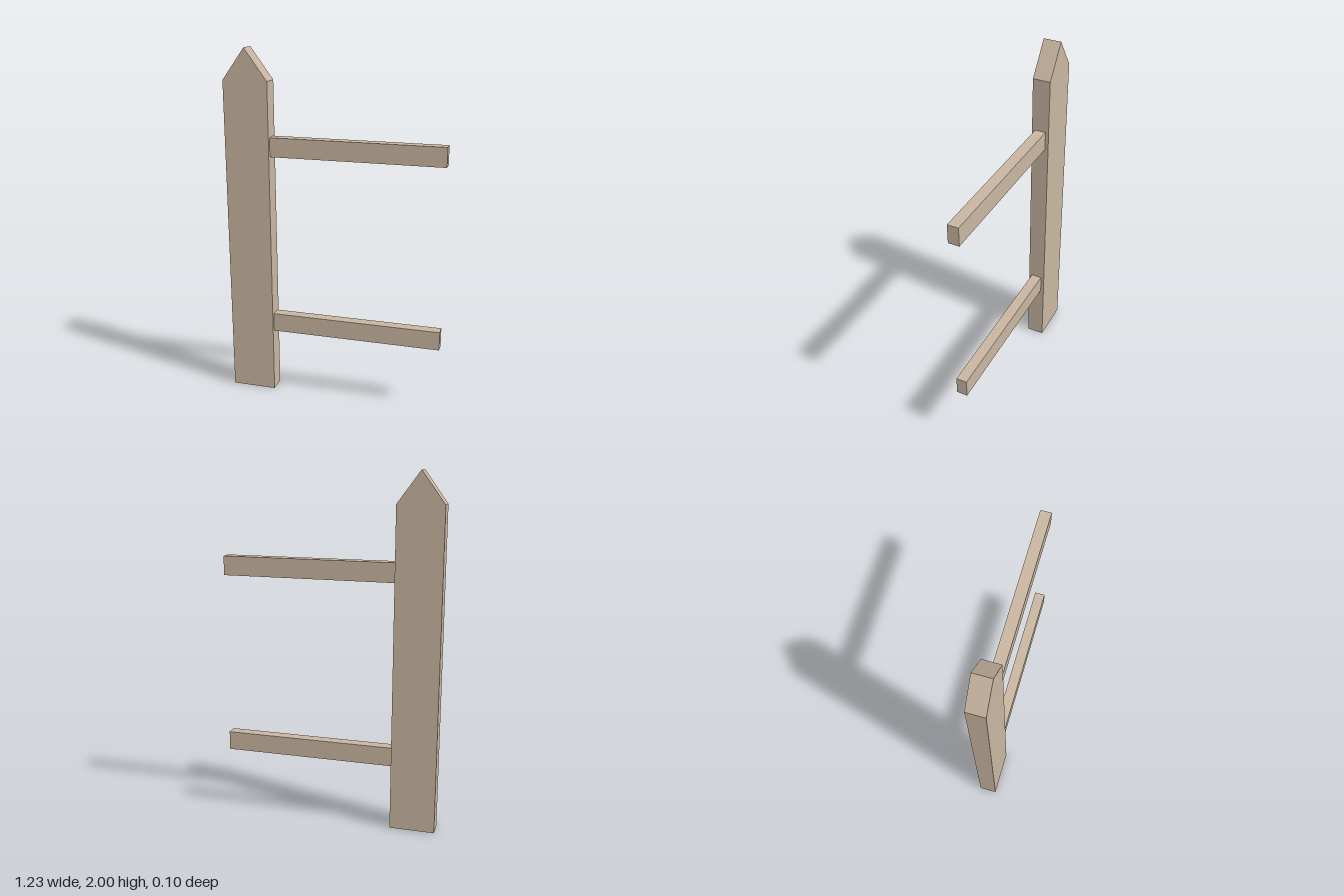
import * as THREE from 'three';

export function createModel() {
  const group = new THREE.Group();
  const wood = new THREE.MeshStandardMaterial({ color: 0xc8b5a0 });
  wood.name = 'pale wood';

  // Pointed picket, extruded from its front outline
  const left = -0.615, right = -0.36, shoulder = 1.825, depth = 0.1;
  const outline = new THREE.Shape([
    new THREE.Vector2(left, 0),
    new THREE.Vector2(right, 0),
    new THREE.Vector2(right, shoulder),
    new THREE.Vector2((left + right) / 2, 2),
    new THREE.Vector2(left, shoulder),
  ]);
  const picketGeometry = new THREE.ExtrudeGeometry(outline, { depth, bevelEnabled: false });
  picketGeometry.translate(0, 0, -depth / 2);
  const picket = new THREE.Mesh(picketGeometry, wood);
  picket.name = 'picket';
  group.add(picket);

  // Two rails running from the picket's side
  const railEnd = 0.615;
  const railGeometry = new THREE.BoxGeometry(railEnd - right, 0.108, 0.062);
  for (const [name, y] of [['lowerRail', 0.424], ['upperRail', 1.466]]) {
    const rail = new THREE.Mesh(railGeometry, wood);
    rail.name = name;
    rail.position.set((railEnd + right) / 2, y, 0);
    group.add(rail);
  }
  return group;
}
